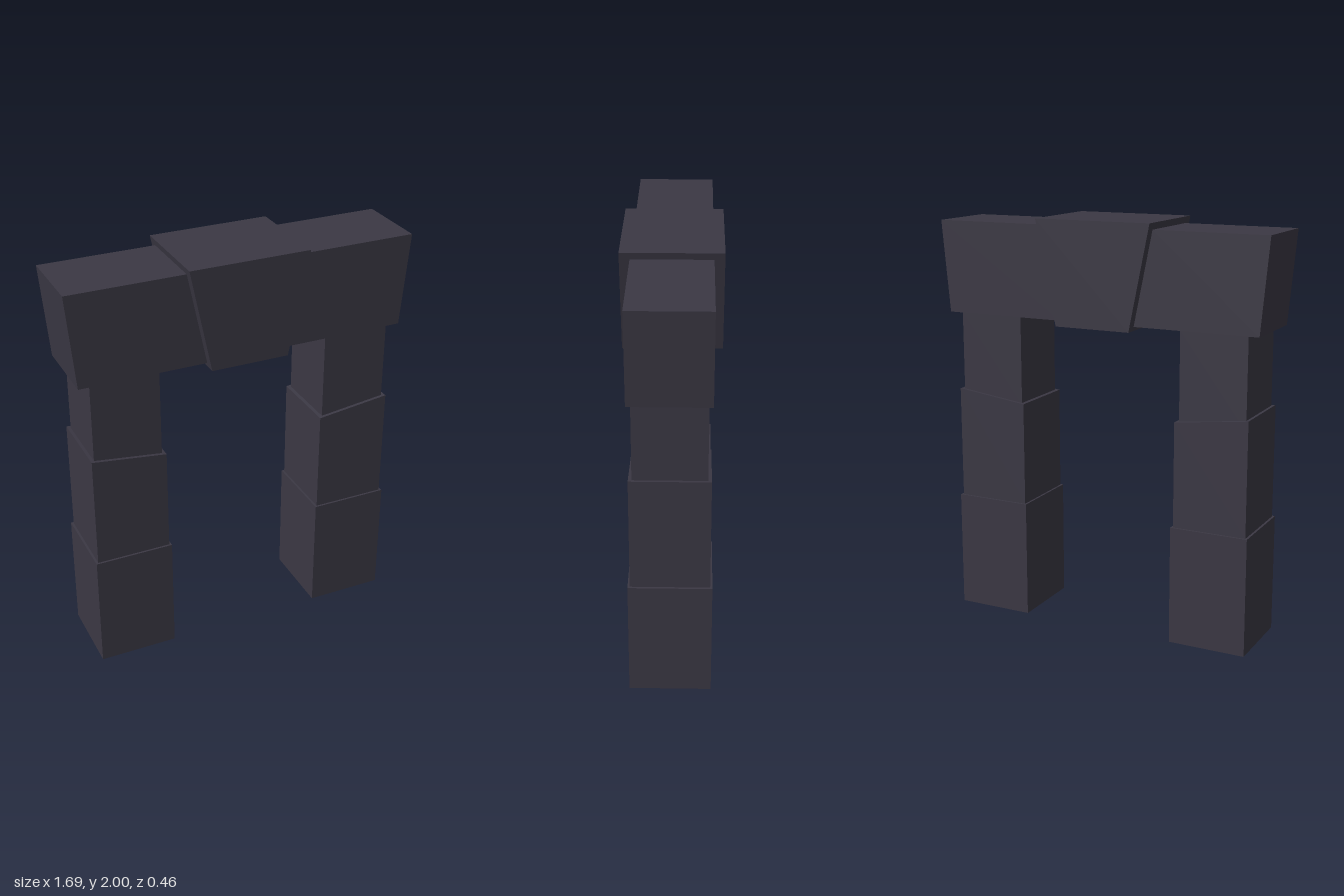
import * as THREE from 'three';

const stone = new THREE.MeshStandardMaterial({ color: 0x3b3844, flatShading: true });

// A stone block: front outline extruded evenly about z = 0
function block(name, outline, depth) {
  const shape = new THREE.Shape(outline.map(([x, y]) => new THREE.Vector2(x, y)));
  const geometry = new THREE.ExtrudeGeometry(shape, { depth, bevelEnabled: false });
  geometry.translate(0, 0, -depth / 2);
  const mesh = new THREE.Mesh(geometry, stone);
  mesh.name = name;
  return mesh;
}

export function createModel() {
  const model = new THREE.Group();
  model.name = 'stoneArch';

  for (const [side, s] of [['left', 1], ['right', -1]]) {
    const add = (part, outline, depth) =>
      model.add(block(side + part, outline.map(([x, y]) => [s * x, y]), depth));

    // Pillar of three stones, each narrower than the one below
    add('PillarBase', [[0.393, 0], [0.777, 0], [0.777, 0.58], [0.393, 0.58]], 0.384);
    // The middle stone's top slopes down towards the opening
    add('PillarMiddle', [[0.403, 0.58], [0.766, 0.58], [0.766, 1.135], [0.403, 1.09]], 0.364);
    add('PillarTop', [[0.42, 1.08], [0.75, 1.08], [0.75, 1.52], [0.42, 1.52]], 0.332);

    // Lintel stone, its inner end leaning along the keystone
    add('Lintel', [[0.19, 1.52], [0.807, 1.52], [0.847, 1.968], [0.284, 1.968]], 0.368);
  }

  // Wedge in the middle of the lintel
  model.add(block('keystone', [[-0.19, 1.5], [0.19, 1.5], [0.293, 2], [-0.293, 2]], 0.462));
  return model;
}
